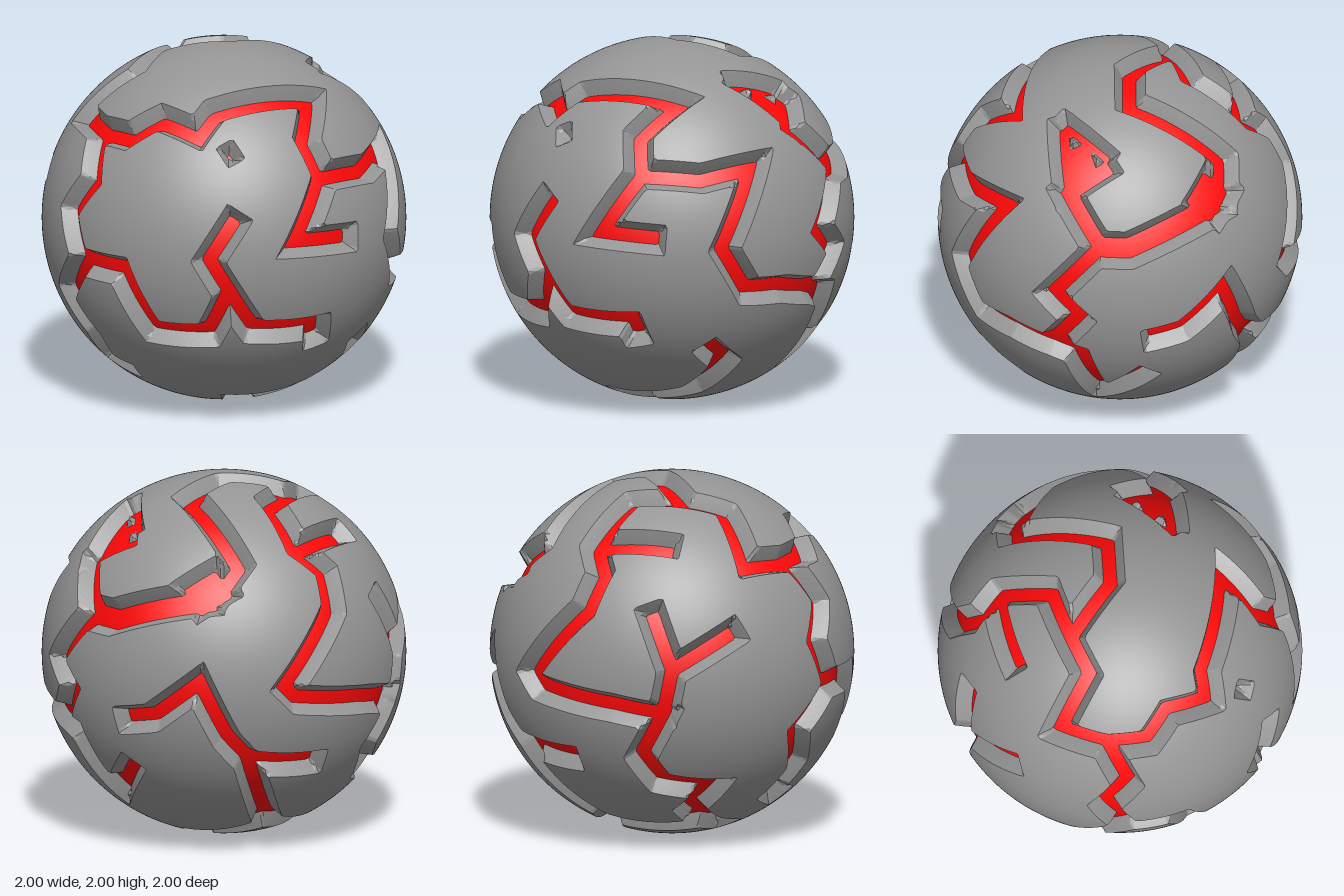
import * as THREE from 'three';

const DEPTH = 0.08, WALL = 0.045, HALF = 0.04;

// Point on the ball, placed on the disc facing azimuth az and elevation el (degrees)
const disc = (az, el) => {
  const a = az * Math.PI / 180, e = el * Math.PI / 180;
  const out = new THREE.Vector3(Math.sin(a), 0, Math.cos(a));
  const right = new THREE.Vector3(Math.cos(a), 0, -Math.sin(a));
  const up = new THREE.Vector3(0, Math.cos(e), 0).addScaledVector(out, -Math.sin(e));
  const eye = new THREE.Vector3(0, Math.sin(e), 0).addScaledVector(out, Math.cos(e));
  return (u, v) => new THREE.Vector3()
    .addScaledVector(right, u).addScaledVector(up, v)
    .addScaledVector(eye, Math.sqrt(Math.max(0, (1 - DEPTH) ** 2 - u * u - v * v))).normalize();
};
const F = disc(0, 0), R = disc(90, 0), T = disc(0, 90), B = disc(215, 25), D = disc(145, -25);

// Junctions shared by several cracks
const crown = T(-0.33, -0.13), temple = T(-0.58, 0.29), brow = F(-0.31, 0.56), chest = F(-0.28, -0.08);
const flank = F(0.54, -0.17), side = R(-0.245, 0.39), back = D(0.166, 0.65), nape = B(-0.14, 0.08);
const hip = D(-0.085, 0.12), tail = B(0.02, -0.71), under = D(0.47, -0.72), keel = F(-0.38, -0.8);
const west = F(-0.9, 0.07), elbow = F(-0.895, -0.17);

const cracks = [];
const crack = (half, ...pts) => cracks.push({ half, pts });

// Crown, round the left back and down to the underside
crack(HALF, crown, T(-0.34, 0.14), temple, T(-0.71, 0.23), B(0.475, 0.03), B(0.22, -0.38), B(0.28, -0.43),
  B(0.66, -0.38), elbow, F(-0.83, -0.4), F(-0.74, -0.54), F(-0.63, -0.58), F(-0.55, -0.71), keel);
crack(HALF, temple, T(-0.62, -0.13));
// Crown over the brow to the side
crack(HALF, crown, T(-0.3, -0.34), T(-0.52, -0.5), brow, F(-0.1, 0.57), F(0.04, 0.67), F(0.27, 0.62),
  T(0.29, -0.5), T(0.57, -0.03), T(0.68, -0.24), side);
// Crown to the back, widening at the nape
crack(HALF, crown, T(-0.03, 0.07), T(0.04, 0.31), T(-0.39, 0.57), nape);
crack(0.06, nape, B(-0.65, 0.05), back);
crack(0.1, B(-0.09, 0.18), B(-0.27, 0.08));
// Wide wedge-shaped gash at the top back
crack(0.02, T(0.39, 0.26), T(0.23, 0.54));
crack(0.03, T(0.4, 0.27), T(0.46, 0.6));
crack(0.07, T(0.37, 0.4), T(0.36, 0.56));
crack(0.045, T(0.23, 0.57), T(0.46, 0.57), back);
// Front
crack(HALF, brow, F(-0.25, 0.34), F(-0.38, 0.16), chest, F(-0.01, -0.08), F(0.13, -0.4), F(0.41, -0.4),
  flank, F(0.46, 0.01), F(0.56, 0.23));
crack(HALF, chest, F(-0.45, -0.3), F(-0.31, -0.5), F(-0.3, -0.65), F(-0.16, -0.69));
crack(HALF, flank, R(-0.59, -0.38), R(-0.29, -0.39), R(-0.25, -0.48));
crack(0.01, F(0.44, 0.55), F(0.47, 0.52));
// Side to the back
crack(HALF, side, R(0.07, 0.37), R(0.35, 0.41), R(0.18, 0.01), R(0.31, -0.22), R(0.5, -0.23), hip);
crack(HALF, side, R(-0.46, 0.09), R(-0.16, 0.07));
crack(HALF, back, D(-0.07, 0.43), D(0.07, 0.315), hip, D(0.05, 0.08), D(0.11, -0.3), D(0.37, -0.1));
// Left
crack(HALF, F(-0.74, 0.26), west, B(0.72, 0.15));
crack(HALF, west, elbow);
// Lower back and underside
crack(HALF, D(0.42, 0.16), D(0.57, 0.15), D(0.75, 0.25), D(0.79, -0.08), tail, under);
crack(HALF, tail, B(0.39, -0.69));
crack(HALF, R(0.11, -0.53), R(0.21, -0.63), R(0.06, -0.8), R(-0.245, -0.85), D(-0.1, -0.81),
  D(0.14, -0.7), under, keel, F(-0.2, -0.84));

// Direction of travel along the ball at p, going from a to b
function heading(p, a, b) {
  const way = b.clone().sub(a);
  return way.addScaledVector(p, -way.dot(p)).normalize();
}

// Segments with mitred joints and flat ends
const segments = cracks.flatMap(({ pts, half }) => {
  const last = pts.length - 1;
  const joint = pts.map((p, i) => {
    const n = new THREE.Vector3();
    if (i > 0) n.add(heading(p, pts[i - 1], p));
    if (i < last) n.add(heading(p, p, pts[i + 1]));
    return n.normalize();
  });
  return pts.slice(1).map((b, i) => ({
    half, normal: pts[i].clone().cross(b).normalize(), mid: pts[i].clone().add(b),
    start: joint[i], end: joint[i + 1], first: i === 0, final: i + 1 === last,
  }));
});

// Below 0 on the crack floor, 0 to 1 across the wall, above 1 on the shell
function level(p) {
  let best = 2;
  for (const s of segments) {
    let d = Math.abs(p.dot(s.normal)) - s.half;
    if (d > best * WALL || p.dot(s.mid) < 0) continue;
    const before = -p.dot(s.start), after = p.dot(s.end);
    if (s.first) d = Math.max(d, before); else if (before > 0) continue;
    if (s.final) d = Math.max(d, after); else if (after > 0) continue;
    best = Math.min(best, d / WALL);
  }
  return best;
}

// Keeps the side of a polygon above (sign 1) or below (sign -1) a level
function clip(poly, at, sign) {
  const out = [];
  poly.forEach((a, i) => {
    const b = poly[(i + 1) % poly.length];
    const da = (a.t - at) * sign, db = (b.t - at) * sign;
    if (da >= 0) out.push(a);
    if ((da > 0 && db < 0) || (da < 0 && db > 0)) {
      out.push({ p: a.p.clone().lerp(b.p, da / (da - db)).normalize(), t: at });
    }
  });
  return out;
}

function addPolygon(list, poly) {
  for (let i = 2; i < poly.length; i++) {
    for (const { p, t } of [poly[0], poly[i - 1], poly[i]]) {
      const r = 1 - DEPTH * THREE.MathUtils.clamp(1 - t, 0, 1);
      list.push(p.x * r, p.y * r, p.z * r);
    }
  }
}

function makeMesh(name, list, color, round) {
  const geo = new THREE.BufferGeometry();
  geo.setAttribute('position', new THREE.Float32BufferAttribute(list, 3));
  geo.computeVertexNormals();
  if (round) {
    geo.setAttribute('normal', geo.attributes.position.clone());
    geo.normalizeNormals();
  }
  const mesh = new THREE.Mesh(geo, new THREE.MeshStandardMaterial({ color, flatShading: !round }));
  mesh.name = name;
  mesh.position.y = 1;
  return mesh;
}

export function createModel() {
  const shell = [], walls = [], floor = [];
  const pos = new THREE.IcosahedronGeometry(1, 52).attributes.position;
  for (let i = 0; i < pos.count; i += 3) {
    const tri = [0, 1, 2].map((k) => {
      const p = new THREE.Vector3().fromBufferAttribute(pos, i + k).normalize();
      return { p, t: level(p) };
    });
    addPolygon(shell, clip(tri, 1, 1));
    addPolygon(walls, clip(clip(tri, 1, -1), 0, 1));
    addPolygon(floor, clip(tri, 0, -1));
  }
  const group = new THREE.Group();
  group.name = 'crackedBall';
  group.add(
    makeMesh('shell', shell, 0x959595, true),
    makeMesh('crackWalls', walls, 0x959595, false),
    makeMesh('crackFloor', floor, 0xff0808, true),
  );
  return group;
}
